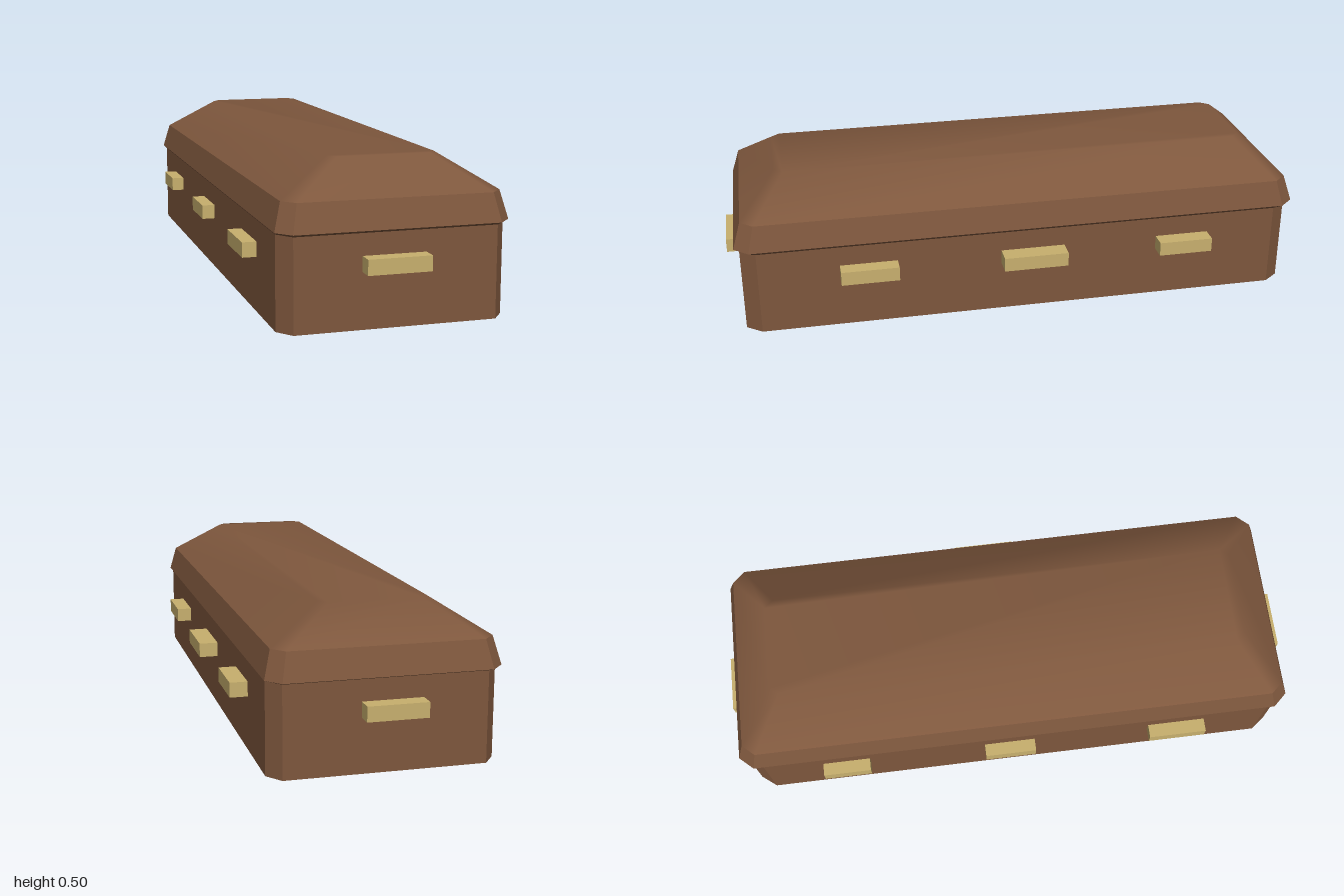
import * as THREE from 'three';

const BROWN = 0x7e573d, GOLD = 0xc8b06e;

// Rectangle with chamfered corners at height y, counter-clockwise seen from above
function ring(y, x0, x1, z0, z1, cx, cz = cx) {
  return [
    [x1, y, z1 - cz], [x1, y, z0 + cz], [x1 - cx, y, z0], [x0 + cx, y, z0],
    [x0, y, z0 + cz], [x0, y, z1 - cz], [x0 + cx, y, z1], [x1 - cx, y, z1],
  ];
}

// Skin a stack of rings from bottom to top, with optional end caps
function loft(rings, { bottom = false, top = false, smooth = false } = {}) {
  const n = rings[0].length, index = [];
  for (let r = 0; r < rings.length - 1; r++) {
    for (let i = 0; i < n; i++) {
      const a = r * n + i, b = r * n + (i + 1) % n;
      index.push(a, b, b + n, a, b + n, a + n);
    }
  }
  const t = (rings.length - 1) * n;
  for (let i = 1; i < n - 1; i++) {
    if (bottom) index.push(0, i + 1, i);
    if (top) index.push(t, t + i, t + i + 1);
  }
  let geo = new THREE.BufferGeometry();
  geo.setAttribute('position', new THREE.Float32BufferAttribute(rings.flat(2), 3));
  geo.setIndex(index);
  if (!smooth) geo = geo.toNonIndexed();
  geo.computeVertexNormals();
  return geo;
}

export function createModel() {
  const group = new THREE.Group();
  const wood = new THREE.MeshStandardMaterial({ color: BROWN });
  const brass = new THREE.MeshStandardMaterial({ color: GOLD });
  const add = (name, geo, mat) => {
    const mesh = new THREE.Mesh(geo, mat);
    mesh.name = name;
    group.add(mesh);
    return mesh;
  };

  const base = ring(0, -0.367, 0.348, -0.947, 0.95, 0.04, 0.052);
  const bodyTop = base.map(([x, , z]) => [x, 0.291, z]);
  const lip = ring(0.3, -0.375, 0.356, -0.973, 0.968, 0.043, 0.048);
  const shoulder = ring(0.388, -0.352, 0.334, -0.946, 0.941, 0.038, 0.042);
  const crown = ring(0.497, -0.18, 0.164, -0.823, 0.818, 0.025, 0.03);

  // Chest, overhanging lid edge and softly shaded lid top
  add('body', loft([base, bodyTop], { bottom: true }), wood);
  add('lidRim', loft([bodyTop, lip, shoulder]), wood);
  add('lidDome', loft([shoulder, crown], { top: true, smooth: true }), wood);

  // Handles: [name, x0, x1, z0, z1], sunk slightly into the walls
  const handles = [
    ['leftHandleBack', 0.34, 0.405, -0.653, -0.467],
    ['leftHandleMiddle', 0.34, 0.411, -0.14, 0.08],
    ['leftHandleFront', 0.34, 0.4, 0.434, 0.628],
    ['rightHandleBack', -0.41, -0.36, -0.692, -0.526],
    ['rightHandleMiddle', -0.41, -0.36, -0.114, 0.065],
    ['rightHandleFront', -0.413, -0.36, 0.476, 0.678],
    ['frontHandle', -0.118, 0.081, 0.94, 1],
    ['backHandle', -0.123, 0.069, -1, -0.94],
  ];
  for (const [name, x0, x1, z0, z1] of handles) {
    const bar = add(name, new THREE.BoxGeometry(x1 - x0, 0.048, z1 - z0), brass);
    bar.position.set((x0 + x1) / 2, 0.199, (z0 + z1) / 2);
  }
  return group;
}
